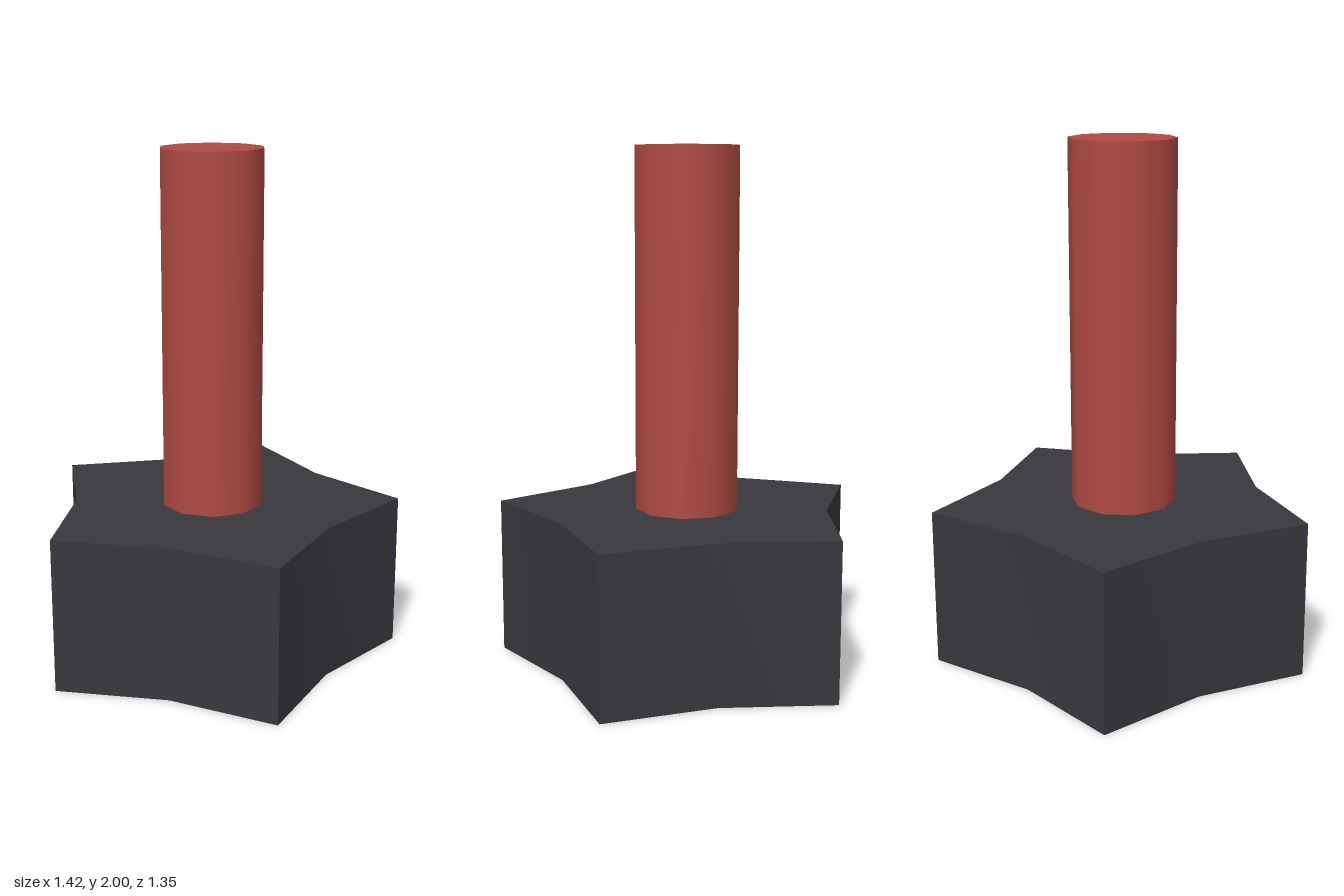
import * as THREE from 'three';
import { toCreasedNormals } from 'three/addons/utils/BufferGeometryUtils.js';

const CENTER_Z = -0.072;
const BASE_HEIGHT = 0.613;
const TOTAL_HEIGHT = 2;

// Five-pointed outline, one tip towards the front once laid flat
function starShape(outer, inner) {
  const points = [];
  for (let i = 0; i < 10; i++) {
    const r = i % 2 ? inner : outer;
    const a = -Math.PI / 2 + (i * Math.PI) / 5;
    points.push(new THREE.Vector2(r * Math.cos(a), r * Math.sin(a)));
  }
  return new THREE.Shape(points);
}

export function createModel() {
  const model = new THREE.Group();
  model.name = 'starKnob';

  const darkPlastic = new THREE.MeshStandardMaterial({ color: 0x38373d });
  darkPlastic.name = 'dark plastic';
  const redShaft = new THREE.MeshStandardMaterial({ color: 0xb04a43 });
  redShaft.name = 'red shaft';

  // Star-shaped grip: sharp tips, softly shaded inner corners
  const star = new THREE.ExtrudeGeometry(starShape(0.744, 0.543), {
    depth: BASE_HEIGHT,
    bevelEnabled: false,
  });
  star.rotateX(-Math.PI / 2);
  const grip = new THREE.Mesh(toCreasedNormals(star, 0.7), darkPlastic);
  grip.name = 'starGrip';
  grip.position.z = CENTER_Z;
  model.add(grip);

  // Ten-sided upright shaft, with corners on the x axis
  const length = TOTAL_HEIGHT - BASE_HEIGHT;
  const shaft = new THREE.Mesh(
    new THREE.CylinderGeometry(0.202, 0.202, length, 10, 1, false, Math.PI / 2),
    redShaft
  );
  shaft.name = 'shaft';
  shaft.position.set(0, BASE_HEIGHT + length / 2, CENTER_Z);
  model.add(shaft);

  return model;
}
